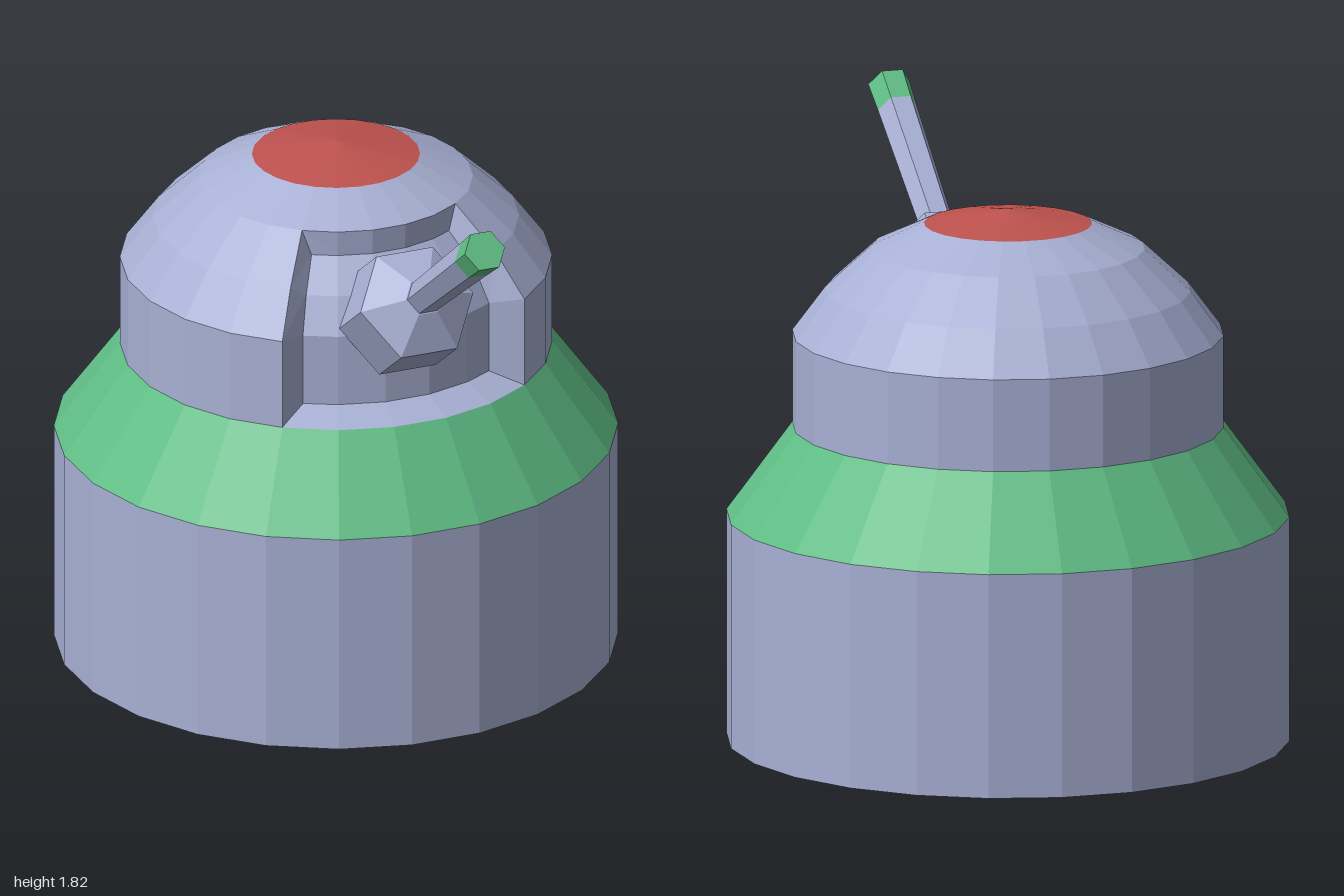
import * as THREE from 'three';

const SIDES = 24;
const rad = THREE.MathUtils.degToRad;

const material = (name, color) => {
  const m = new THREE.MeshStandardMaterial({ color });
  m.name = name;
  return m;
};

// Facet a geometry so every face keeps its own normal
function faceted(geometry) {
  const g = geometry.index ? geometry.toNonIndexed() : geometry;
  g.computeVertexNormals();
  return g;
}

function part(name, geometry, mat) {
  const mesh = new THREE.Mesh(faceted(geometry), mat);
  mesh.name = name;
  return mesh;
}

// Revolve [radius, height] pairs, listed from bottom to top
function revolve(profile, sides = SIDES, start = 0, sweep = 360) {
  const points = profile.map(([r, y]) => new THREE.Vector2(r, y));
  return new THREE.LatheGeometry(points, sides, rad(start), rad(sweep));
}

// Opening in the turret wall: sloping frame plus an inset back wall
function recessGeometry(outer, outerAngles, inner, innerAngles) {
  const grid = (profile, angles) => profile.map(([r, y]) =>
    angles.map(a => [r * Math.cos(rad(a)), y, r * Math.sin(rad(a))]));
  const rim = rows => {
    const last = rows.length - 1, end = rows[0].length - 1;
    const mid = rows.slice(1, last);
    return [...rows[0], ...mid.map(row => row[end]),
      ...[...rows[last]].reverse(), ...mid.map(row => row[0]).reverse()];
  };
  const out = [];
  const quad = (a, b, c, d) => out.push(...a, ...b, ...c, ...a, ...c, ...d);

  const back = grid(inner, innerAngles);
  const o = rim(grid(outer, outerAngles)), n = rim(back);
  o.forEach((p, i) => {
    const k = (i + 1) % o.length;
    quad(p, n[i], n[k], o[k]);
  });
  for (let r = 0; r < back.length - 1; r++) {
    for (let j = 0; j < innerAngles.length - 1; j++) {
      quad(back[r][j + 1], back[r][j], back[r + 1][j], back[r + 1][j + 1]);
    }
  }
  const g = new THREE.BufferGeometry();
  g.setAttribute('position', new THREE.Float32BufferAttribute(out, 3));
  return g;
}

export function createModel() {
  const metal = material('lavender metal', 0xa8b0d4);
  const green = material('green trim', 0x5fbd85);
  const red = material('red cap', 0xbe524e);

  const model = new THREE.Group();
  model.name = 'gunTurret';

  // Round body, offset so the barrel balances the overall width
  const body = new THREE.Group();
  body.name = 'body';
  body.position.x = -0.145;
  model.add(body);

  const wall = [[0.655, 0.97], [0.655, 1.255], [0.555, 1.39], [0.415, 1.52]];
  const recessWall = [[0.555, 1.01], [0.555, 1.235], [0.5, 1.345], [0.41, 1.44]];
  body.add(
    part('base', revolve([[0, 0], [0.855, 0], [0.855, 0.695]]), metal),
    part('shoulder', revolve([[0.855, 0.695], [0.655, 0.97]]), green),
    part('turretWall', revolve(wall, 19, 105, 285), metal),
    part('recess', recessGeometry(
      wall, [-15, 0, 15, 30, 45, 60],
      recessWall, [-11, 0, 15, 30, 45, 56]), metal),
    part('domeTop', revolve([[0.415, 1.52], [0.255, 1.595]]), metal),
    part('domeCap', revolve([[0.255, 1.595], [0, 1.64]]), red),
  );

  // Gun: local y runs along the barrel
  const gun = new THREE.Group();
  gun.name = 'gun';
  gun.position.set(0.385, 1.315, 0.24);
  gun.rotation.set(0, rad(-22.8), rad(-53.5), 'YZX');
  model.add(gun);

  const barrel = new THREE.CylinderGeometry(0.063, 0.054, 0.56, 6, 1, true);
  barrel.translate(0, 0.385, 0);
  gun.add(
    part('gunMount', revolve(
      [[0, -0.19], [0.1, -0.19], [0.185, -0.1], [0.185, 0.11], [0.06, 0.18], [0, 0.18]], 6), metal),
    part('barrel', barrel, metal),
    part('muzzle', revolve([[0.063, 0.665], [0.066, 0.77], [0, 0.77]], 6), green),
  );
  return model;
}
